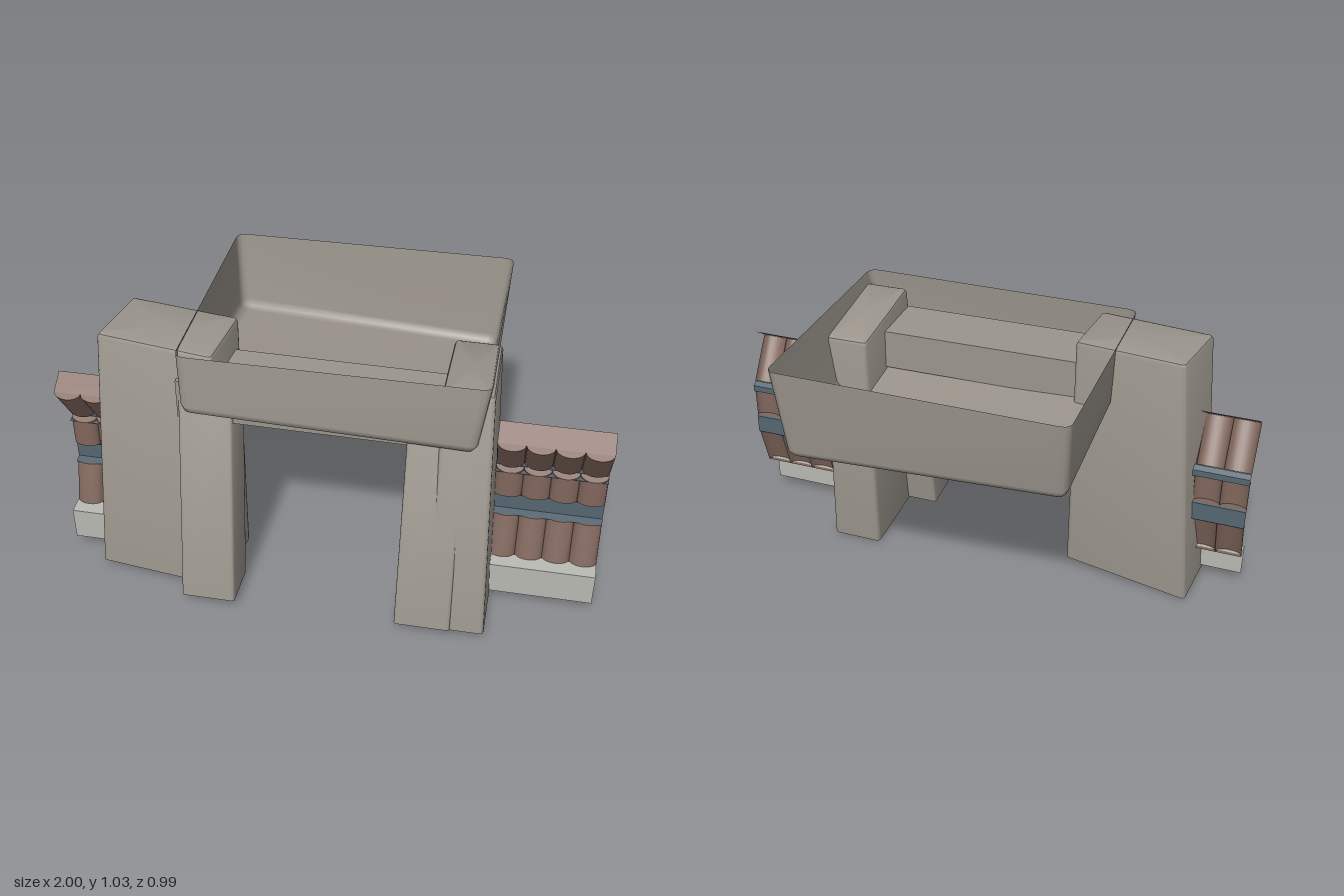
import * as THREE from 'three';
import { toCreasedNormals, mergeGeometries } from 'three/addons/utils/BufferGeometryUtils.js';

const paint = (color) => new THREE.MeshStandardMaterial({ color, side: THREE.DoubleSide });
const stone = paint(0x9b958c), clay = paint(0x80665c), slate = paint(0x556672), plaster = paint(0xb9b9b2);
const V = (x, y, z) => new THREE.Vector3(x, y, z);

// Joins rows of points into a surface; closed rows wrap round, cap adds a fan on the last row
function loft(rows, closed, cap) {
  const n = rows[0].length, pts = rows.flat(), index = [];
  for (let i = 0; i < rows.length - 1; i++) {
    for (let j = 0; j < (closed ? n : n - 1); j++) {
      const k = (j + 1) % n, a = i * n + j, b = i * n + k;
      index.push(a, b, b + n, a, b + n, a + n);
    }
  }
  if (cap) {
    const last = rows[rows.length - 1], base = pts.length - n;
    const centre = V(0, 0, 0);
    last.forEach((p) => centre.addScaledVector(p, 1 / n));
    for (let j = 0; j < n; j++) index.push(base + j, base + (j + 1) % n, pts.length);
    pts.push(centre);
  }
  const geo = new THREE.BufferGeometry().setFromPoints(pts);
  geo.setIndex(index);
  geo.computeVertexNormals();
  return geo;
}

// Four corners moved inward along their edges
function inset(quad, d) {
  return quad.map((p, i) => {
    const out = p.clone();
    for (const q of [quad[(i + 3) % 4], quad[(i + 1) % 4]]) {
      out.addScaledVector(q.clone().sub(p).normalize(), d);
    }
    return out;
  });
}

// Four corners turned into a ring with rounded corners
function ring(quad, r) {
  return quad.flatMap((p, i) => {
    const toward = (q) => p.clone().addScaledVector(q.clone().sub(p).normalize(), r);
    const curve = new THREE.QuadraticBezierCurve3(toward(quad[(i + 3) % 4]), p, toward(quad[(i + 1) % 4]));
    return curve.getPoints(3);
  });
}

// Hewn block: open at one end, bevelled and closed at the other
function block(name, open, closed, r, smooth) {
  const from = open.map((c) => V(...c)), to = closed.map((c) => V(...c));
  const back = (d) => to.map((p, i) => p.clone().addScaledVector(from[i].clone().sub(p).normalize(), d));
  const rows = [
    ring(from, r),
    ring(back(r), r),
    ring(inset(back(r * 0.3), r * 0.3), r * 0.8),
    ring(inset(to, r), r * 0.5),
  ];
  const geo = loft(rows, true, true);
  const mesh = new THREE.Mesh(smooth ? geo : toCreasedNormals(geo, 0.65), stone);
  mesh.name = name;
  return mesh;
}

// Flat bands following a [z, y] profile along x
function band(name, x0, x1, profile, material) {
  const rows = profile.map(([z, y]) => [V(x0, y, z), V(x1, y, z)]);
  const mesh = new THREE.Mesh(toCreasedNormals(loft(rows, false, false), 0.3), material);
  mesh.name = name;
  return mesh;
}

// Row of half-round tiles; back and front are [z, y] at the top and bottom ends
function tileRow(name, x0, count, backTop, frontTop, frontBottom, backBottom) {
  const tiles = [];
  const arc = (x, a, b, bulge) => Array.from({ length: 11 }, (_, i) => {
    const t = Math.PI * i / 10, s = bulge * Math.sin(t);
    return V(x + 0.05 - 0.05 * Math.cos(t), a[1] + (b[1] - a[1]) * s, a[0] + (b[0] - a[0]) * s);
  });
  for (let i = 0; i < count; i++) {
    const x = x0 + 0.1 * i;
    const rows = [
      arc(x, backBottom, frontBottom, 0), arc(x, backBottom, frontBottom, 1),
      arc(x, backTop, frontTop, 1), arc(x, backTop, frontTop, 0),
    ];
    tiles.push(toCreasedNormals(loft(rows, false, false), 0.7));
  }
  const mesh = new THREE.Mesh(mergeGeometries(tiles), clay);
  mesh.name = name;
  return mesh;
}

// Tiled wall beside the gateway
function sideWall(name, x0, x1) {
  const g = new THREE.Group();
  g.name = name;
  g.add(
    band('wallBase', x0, x1, [[0.255, 0.04], [0.255, 0.17], [0.19, 0.175]], plaster),
    tileRow('lowerTiles', x0, 4, [0.133, 0.335], [0.162, 0.335], [0.21, 0.17], [0.182, 0.17]),
    band('lowerSlat', x0, x1, [[0.155, 0.335], [0.125, 0.342], [0.125, 0.415], [0.14, 0.42]], slate),
    tileRow('middleTiles', x0, 4, [0.13, 0.545], [0.157, 0.53], [0.157, 0.42], [0.13, 0.42]),
    band('upperSlat', x0, x1, [[0.155, 0.53], [0.12, 0.535], [0.12, 0.56], [0.14, 0.572]], slate),
    tileRow('upperTiles', x0, 4, [0.245, 0.73], [0.27, 0.715], [0.163, 0.56], [0.137, 0.575]),
    band('coping', x0, x1, [[0.248, 0.729], [0.18, 0.775]], clay),
  );
  return g;
}

export function createModel() {
  const model = new THREE.Group();
  model.name = 'gateway';

  // Hollow lintel, open at the top
  model.add(block('lintel',
    [[0.575, 1.03, 0.375], [-0.49, 1.03, 0.375], [-0.49, 1.03, -0.495], [0.575, 1.03, -0.495]],
    [[0.54, 0.77, 0.393], [-0.48, 0.8, 0.393], [-0.48, 0.725, -0.465], [0.54, 0.67, -0.465]], 0.035, true));

  // Cross beam lying inside the lintel
  const beam = new THREE.Mesh(new THREE.BoxGeometry(1, 0.15, 0.23), stone);
  beam.name = 'crossBeam';
  beam.position.set(0, 0.835, 0.24);
  beam.rotation.z = -0.01;
  model.add(beam);

  // Outer pillars, open underneath
  model.add(block('leftPillar',
    [[0.415, 0.035, 0.482], [0.622, 0.035, 0.482], [0.622, 0, 0.012], [0.425, 0, 0.012]],
    [[0.41, 0.987, 0.348], [0.585, 0.985, 0.348], [0.58, 0.94, -0.048], [0.41, 0.942, -0.048]], 0.016));
  model.add(block('rightPillar',
    [[-0.855, 0.03, 0.355], [-0.37, 0.035, 0.42], [-0.33, 0.035, 0.13], [-0.82, 0, 0.07]],
    [[-0.79, 1.03, 0.287], [-0.367, 1.022, 0.347], [-0.34, 1.022, 0.08], [-0.742, 1.03, 0.027]], 0.016));

  // Slim inner pillars
  for (const s of [-1, 1]) {
    const a = s > 0 ? 0.296 : -0.5, b = s > 0 ? 0.5 : -0.3;
    model.add(block(s > 0 ? 'leftInnerPillar' : 'rightInnerPillar',
      [[a, 0.04, 0.493], [b, 0.04, 0.493], [b, 0.03, 0.31], [a, 0.03, 0.31]],
      [[a + 0.007, 0.88, 0.352], [b - 0.003, 0.88, 0.352], [b - 0.003, 0.87, 0.18], [a + 0.007, 0.87, 0.18]], 0.012));
  }

  model.add(sideWall('leftWall', 0.6, 1), sideWall('rightWall', -1, -0.6));
  return model;
}
